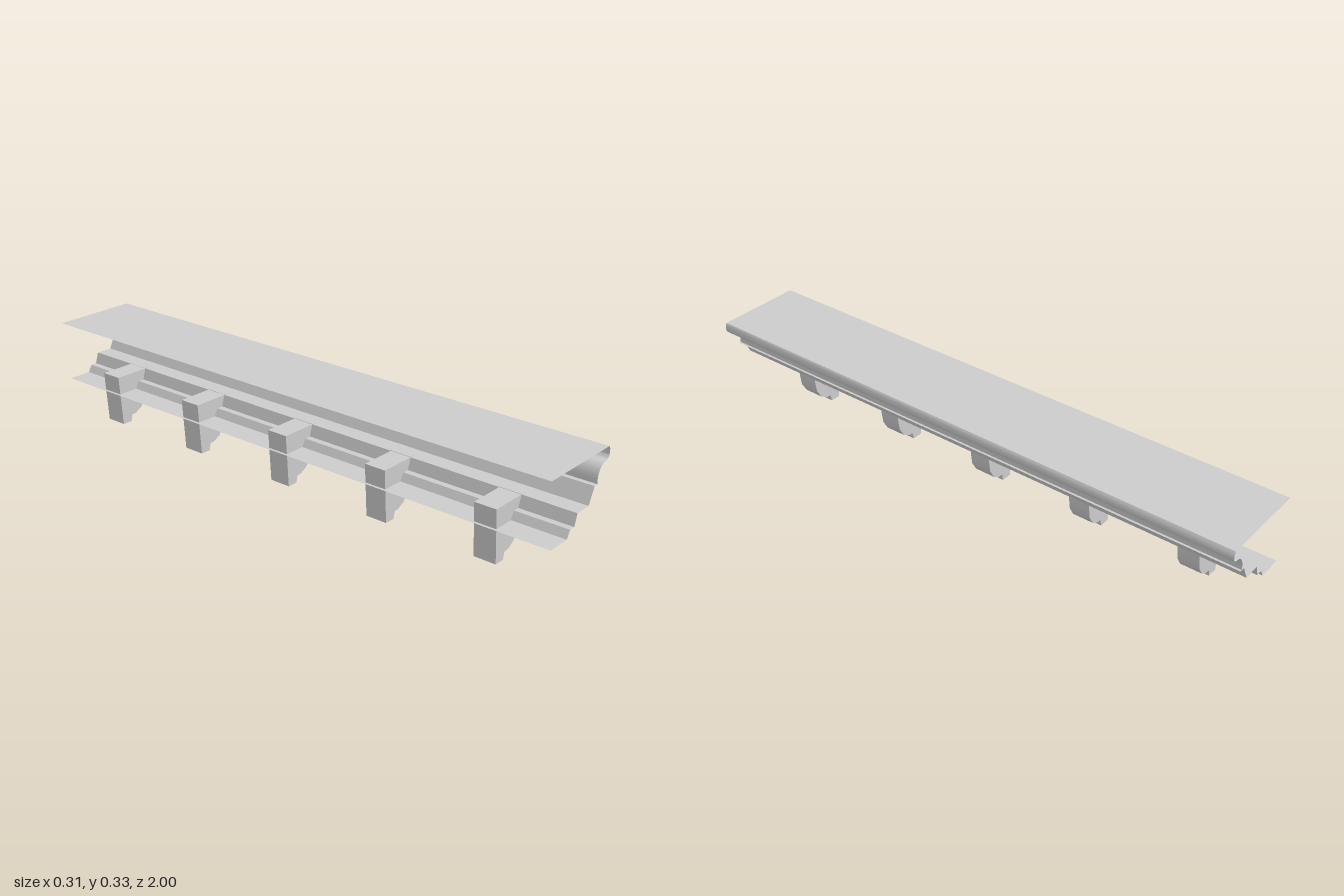
import * as THREE from 'three';
import { toCreasedNormals } from 'three/addons/utils/BufferGeometryUtils.js';

const solid = new THREE.MeshStandardMaterial({ color: 0xcccccc });
const sheet = new THREE.MeshStandardMaterial({ color: 0xcccccc, side: THREE.DoubleSide });

// Sweeps an open [x, y] profile along z as a thin sheet
function ribbon(profile, length) {
  const pos = [], index = [];
  profile.forEach(([x, y], i) => {
    pos.push(x, y, length / 2, x, y, -length / 2);
    if (i > 0) {
      const a = 2 * (i - 1);
      index.push(a, a + 1, a + 2, a + 1, a + 3, a + 2);
    }
  });
  const g = new THREE.BufferGeometry();
  g.setAttribute('position', new THREE.Float32BufferAttribute(pos, 3));
  g.setIndex(index);
  g.computeVertexNormals();
  return toCreasedNormals(g, 0.6);
}

// Points of an elliptical arc, angles in degrees
function arc(cx, cy, rx, ry, from, to, steps) {
  const pts = [];
  for (let i = 0; i <= steps; i++) {
    const a = THREE.MathUtils.degToRad(from + (to - from) * i / steps);
    pts.push([cx + rx * Math.cos(a), cy + ry * Math.sin(a)]);
  }
  return pts;
}

export function createModel() {
  const group = new THREE.Group();

  // Cornice sheet: flat soffit, two steps, fascia, cove, bead and flat top
  const profile = [
    [-0.132, 0.115], [-0.048, 0.115], [-0.034, 0.14], [-0.012, 0.14],
    [0, 0.178], [0.06, 0.178], [0.085, 0.23], [0.105, 0.23],
    ...arc(0.138, 0.24, 0.04, 0.05, 190, 90, 7),
    ...arc(0.138, 0.306, 0.018, 0.016, -90, 0, 4),
    [0.156, 0.322], [0.151, 0.33], [-0.156, 0.33],
  ];
  const cornice = new THREE.Mesh(ribbon(profile, 2), sheet);
  cornice.name = 'cornice';
  group.add(cornice);

  // Scrolled bracket with a small cap at the front
  const width = 0.075;
  const outline = [
    [-0.127, 0.178], [-0.114, 0], [-0.077, 0], [-0.072, 0.024], [-0.055, 0.025],
    [-0.028, 0.04], [-0.008, 0.073], [-0.002, 0.11], [0, 0.145], [0, 0.178],
  ];
  const shape = new THREE.Shape(outline.map(([x, y]) => new THREE.Vector2(x, y)));
  const body = new THREE.ExtrudeGeometry(shape, { depth: width, bevelEnabled: false });
  body.translate(0, 0, -width / 2);
  const bracketGeometry = toCreasedNormals(body, 0.6);
  const capGeometry = new THREE.BoxGeometry(0.017, 0.034, width);

  for (let i = -2; i <= 2; i++) {
    const bracket = new THREE.Group();
    bracket.name = 'bracket';
    const bracketBody = new THREE.Mesh(bracketGeometry, solid);
    bracketBody.name = 'bracketBody';
    const cap = new THREE.Mesh(capGeometry, solid);
    cap.name = 'bracketCap';
    cap.position.set(0.0085, 0.162, 0);
    bracket.add(bracketBody, cap);
    bracket.position.z = i * 0.391;
    group.add(bracket);
  }
  return group;
}
